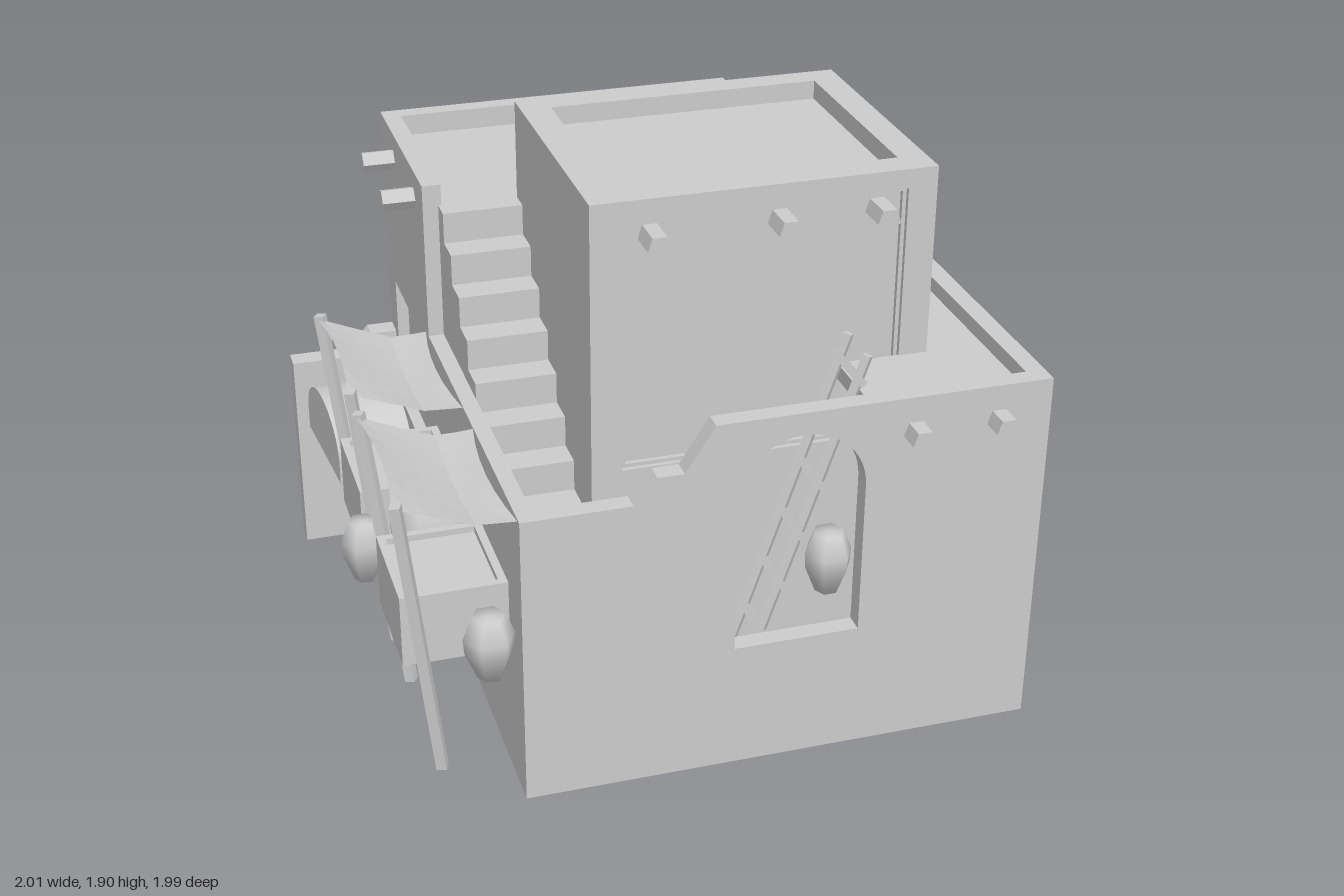
import * as THREE from 'three';

const mat = new THREE.MeshStandardMaterial({ color: 0xcccccc, flatShading: true });
const thin = new THREE.MeshStandardMaterial({ color: 0xcccccc, flatShading: true, side: THREE.DoubleSide });
const smooth = new THREE.MeshStandardMaterial({ color: 0xcccccc });
const V = (x, y, z) => new THREE.Vector3(x, y, z);

export function createModel() {
  const root = new THREE.Group();
  const add = (name, geo, m = mat) => {
    const mesh = new THREE.Mesh(geo, m);
    mesh.name = name;
    root.add(mesh);
    return mesh;
  };
  // box from its limits
  const box = (name, x0, x1, y0, y1, z0, z1) =>
    add(name, new THREE.BoxGeometry(x1 - x0, y1 - y0, z1 - z0)
      .translate((x0 + x1) / 2, (y0 + y1) / 2, (z0 + z1) / 2));
  const poly = (pts) => new THREE.Shape(pts.map(([x, y]) => new THREE.Vector2(x, y)));
  const rect = (a, b, c, d) => poly([[a, c], [b, c], [b, d], [a, d]]);
  // rectangular border of width w
  const border = (a, b, c, d, w) => {
    const s = rect(a, b, c, d);
    s.holes.push(rect(a + w, b - w, c + w, d - w));
    return s;
  };
  const extrude = (shape, depth) =>
    new THREE.ExtrudeGeometry(shape, { depth, bevelEnabled: false, curveSegments: 12 });
  // wall facing z, and wall facing x (shape drawn with -z as its horizontal)
  const wallZ = (name, shape, z0, depth) => add(name, extrude(shape, depth).translate(0, 0, z0));
  const wallX = (name, shape, x0, depth) =>
    add(name, extrude(shape, depth).rotateY(Math.PI / 2).translate(x0, 0, 0));
  // straight bar between two points
  const bar = (name, a, b, r, sides = 4) => {
    const d = b.clone().sub(a);
    const mesh = add(name, new THREE.CylinderGeometry(r, r, d.length(), sides));
    mesh.position.copy(a).add(b).multiplyScalar(0.5);
    mesh.quaternion.setFromUnitVectors(V(0, 1, 0), d.normalize());
  };

  // front wall with sloped parapet and arched opening
  const front = poly([[-0.6, 0.18], [1, 0.18], [1, 1.35], [-0.03, 1.35], [-0.12, 1.21],
    [-0.2, 1.21], [-0.27, 1.13], [-0.6, 1.13]]);
  const arch = new THREE.Path();
  arch.moveTo(0.04, 0.59).lineTo(0.43, 0.59).lineTo(0.43, 1.085);
  arch.absarc(0.235, 1.085, 0.195, 0, Math.PI, false);
  arch.lineTo(0.04, 0.59);
  front.holes.push(arch);
  wallZ('frontWall', front, 0.86, 0.06);

  // right wall with four recessed windows
  const right = rect(-0.86, 0.84, 0.18, 1.35);
  for (const a of [-0.852, -0.512, 0.157, 0.497]) {
    right.holes.push(rect(a, a + 0.273, 0.722, 1.275));
    wallX('windowFrame', border(a, a + 0.273, 0.722, 1.275, 0.012), 0.965, 0.015);
  }
  wallX('rightWall', right, 0.96, 0.04);
  box('rightWallInner', 0.94, 0.96, 0.18, 1.35, -0.84, 0.86);
  box('backWall', 0.62, 0.94, 0.18, 1.35, -0.84, -0.78);
  box('leftWall', -0.6, -0.55, 0.18, 1.13, -0.31, 0.86);

  // terrace roof around the tower
  box('terraceSide', 0.75, 0.94, 1.25, 1.3, -0.78, 0.56);
  box('terraceFront', 0.47, 0.94, 1.25, 1.3, 0.56, 0.86);
  box('terraceBack', 0.62, 0.75, 1.25, 1.3, -0.78, -0.31);
  const crate = box('roofBox', -0.08, 0.08, 0, 0.14, -0.08, 0.08);
  crate.position.set(0.745, 1.3, -0.425);
  crate.rotation.y = 0.35;

  // tower, a thin shell open below
  const face = rect(-0.295, 0.755, 0.08, 1.9);
  face.holes.push(rect(-0.2, 0.665, 1.04, 1.84));
  wallZ('towerFront', face, 0.535, 0.03);
  wallZ('towerPanelRim', border(-0.2, 0.665, 1.04, 1.84, 0.012), 0.535, 0.015);
  box('towerPanel', -0.295, 0.755, 0.08, 1.84, 0.525, 0.535);
  box('towerLeft', -0.295, -0.275, 0.08, 1.84, -0.305, 0.525);
  box('towerRight', 0.735, 0.755, 1.25, 1.84, -0.305, 0.525);
  box('towerBack', -0.275, 0.735, 1.25, 1.84, -0.305, -0.285);
  box('towerRoof', -0.275, 0.735, 1.8, 1.84, -0.285, 0.525);
  const parapet = rect(-0.295, 0.755, -0.535, 0.305);
  parapet.holes.push(rect(-0.2, 0.665, -0.47, 0.22));
  add('towerParapet', extrude(parapet, 0.06).rotateX(-Math.PI / 2).translate(0, 1.84, 0));

  // rear block with parapet on three sides and a recess in its left face
  box('rearBlock', -0.56, 0.625, 0, 1.58, -1, -0.305);
  const side = rect(0.305, 1, 0, 1.58);
  side.holes.push(rect(0.4, 0.88, 0.61, 1.07));
  wallX('rearBlockLeft', side, -0.6, 0.04);
  box('rearParapet', -0.6, 0.625, 1.58, 1.65, -1, -0.94);
  box('rearParapetLeft', -0.6, -0.54, 1.58, 1.65, -0.94, -0.305);
  box('rearParapetRight', 0.56, 0.625, 1.58, 1.65, -0.94, -0.305);

  // garden wall stub
  wallZ('wallStub', poly([[-0.97, 0.06], [-0.6, 0.06], [-0.6, 0.86], [-0.69, 0.86],
    [-0.76, 0.78], [-0.97, 0.78]]), -1, 0.075);

  // stairs up to the rear block
  for (let i = 0; i < 12; i++) {
    const z = 0.86 - i * 0.0995;
    box('stairStep', -0.55, -0.295, 0.18, 0.48 + i * 0.1, i === 11 ? -0.305 : z - 0.0995, z);
  }

  // projecting roof beams
  for (const x of [-0.11, 0.28, 0.58]) {
    bar('towerBeam', V(x, 1.78, 0.53), V(x, 1.78, 0.637), 0.037, 5);
    bar('towerBeam', V(x, 1.82, -0.29), V(x, 1.82, -0.38), 0.037, 5);
  }
  for (const x of [0.575, 0.835]) bar('frontBeam', V(x, 1.24, 0.88), V(x, 1.24, 0.99), 0.037, 5);
  for (const z of [-0.8, -0.46]) bar('rearBeam', V(-0.57, 1.555, z), V(-0.705, 1.555, z), 0.037, 5);

  // ladders: two rails with rungs along z
  const ladder = (name, x0, y0, x1, y1, za, zb, n) => {
    for (const z of [za, zb]) bar(name + 'Rail', V(x0, y0, z), V(x1, y1, z), 0.018);
    for (let i = 0; i < n; i++) {
      const t = (i + 0.55) / n, x = x0 + (x1 - x0) * t, y = y0 + (y1 - y0) * t;
      bar(name + 'Rung', V(x, y, za - 0.04), V(x, y, zb + 0.03), 0.016);
    }
  };
  ladder('courtLadder', 0.1, 0.26, 0.49, 1.41, 0.59, 0.74, 7);
  ladder('roofLadder', 0.77, 1.28, 0.64, 1.69, -0.745, -0.575, 3);

  // jars
  const jarProfile = [[0, 0], [0.5, 0], [0.95, 0.42], [1, 0.66], [0.65, 1], [0, 1]];
  for (const [x, z, r, h] of [[-0.69, 0.89, 0.077, 0.205], [-0.94, 0.27, 0.067, 0.205],
    [0.4, 0.73, 0.075, 0.205], [-0.73, 0.27, 0.125, 0.27]]) {
    const pts = jarProfile.map(([a, b]) => new THREE.Vector2(a * r, b * h));
    add('jar', new THREE.LatheGeometry(pts, 6, Math.PI / 6), smooth).position.set(x, 0.62, z);
  }

  // market crates with raised rims
  for (const z0 of [-0.23, 0.4]) {
    const z1 = z0 + 0.36;
    box('stallCrate', -0.92, -0.6, 0.61, 0.82, z0, z1);
    add('stallRim', extrude(border(-0.92, -0.6, z0, z1, 0.025), 0.02)
      .rotateX(Math.PI / 2).translate(0, 0.84, 0));
  }

  // low vaulted oven beside the rear block, slightly turned
  const vault = new THREE.Shape();
  vault.moveTo(-0.215, 0.61).lineTo(0.215, 0.61).lineTo(0.215, 0.69);
  vault.absellipse(0, 0.69, 0.215, 0.145, 0, Math.PI, false);
  vault.lineTo(-0.215, 0.61);
  const oven = wallX('vault', vault, -0.125, 0.25);
  oven.position.set(-0.805, 0, -0.565);
  oven.rotation.y = 0.08;

  // sagging awnings on leaning poles
  for (const [z0, z1] of [[-0.35, 0.2], [0.34, 0.9]]) {
    const geo = new THREE.PlaneGeometry(1, 1, 6, 6);
    const p = geo.attributes.position;
    for (let i = 0; i < p.count; i++) {
      const u = p.getX(i) + 0.5, v = p.getY(i) + 0.5;
      const mid = 4 * v * (1 - v), pull = 4 * u * (1 - u);
      const x = -0.95 + u * 0.35 + mid * 0.025 * (1 - 2 * u);
      const z = (z0 + z1) / 2 + (v - 0.5) * (z1 - z0) * (1 - 0.04 * pull);
      p.setXYZ(i, x, Math.max(1.22 - 0.14 * u, 1.125) - 0.012 * mid * pull, z);
    }
    geo.computeVertexNormals();
    add('awning', geo, thin);
    bar('awningPole', V(-0.94, 1.23, z0), V(-0.84, 0.32, z0 + 0.08), 0.022);
    bar('awningPole', V(-0.94, 1.23, z1), V(-0.84, 0.32, z1 - 0.02), 0.022);
  }
  return root;
}
